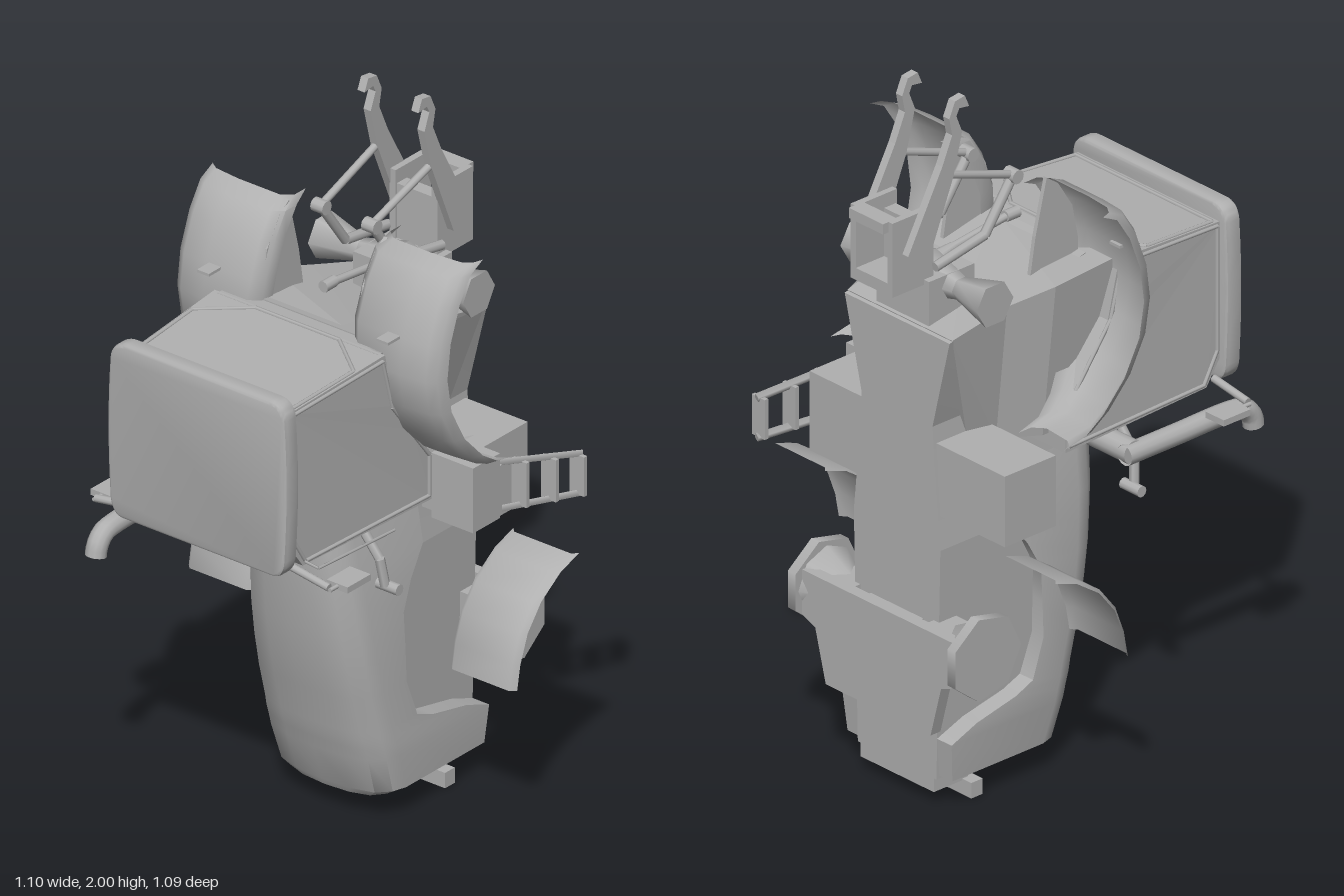
import * as THREE from 'three';
import { toCreasedNormals } from 'three/addons/utils/BufferGeometryUtils.js';

export function createModel() {
  const root = new THREE.Group();
  root.name = 'uprightTractorBody';
  const grey = new THREE.MeshStandardMaterial({ color: 0xb0b0b0, side: THREE.DoubleSide });
  grey.name = 'plain grey';

  const add = (name, geometry) => {
    const m = new THREE.Mesh(geometry, grey);
    m.name = name;
    root.add(m);
    return m;
  };
  // box from its limits on each axis
  const box = (name, x0, x1, y0, y1, z0, z1) =>
    add(name, new THREE.BoxGeometry(Math.abs(x1 - x0), y1 - y0, Math.abs(z1 - z0)))
      .position.set((x0 + x1) / 2, (y0 + y1) / 2, (z0 + z1) / 2);
  // straight rod between two points
  const rod = (name, a, b, r0, r1 = r0, sides = 10) => {
    const p = new THREE.Vector3(...a), q = new THREE.Vector3(...b), d = q.clone().sub(p);
    const m = add(name, new THREE.CylinderGeometry(r1, r0, d.length(), sides));
    m.position.copy(p).add(q).multiplyScalar(0.5);
    m.quaternion.setFromUnitVectors(new THREE.Vector3(0, 1, 0), d.normalize());
  };
  const chain = (name, pts, r, sides = 6) => {
    for (let i = 1; i < pts.length; i++) rod(name, pts[i - 1], pts[i], r, r, sides);
  };
  // plate drawn in (z, y), given a width along x and centred on x
  const plate = (name, pts, width, x = 0) => {
    const shape = new THREE.Shape(pts.map(p => new THREE.Vector2(...p)));
    const g = new THREE.ExtrudeGeometry(shape, { depth: width, bevelEnabled: false });
    g.translate(0, 0, -width / 2).rotateY(-Math.PI / 2).translate(x, 0, 0);
    return add(name, g);
  };
  // skin over a row of cross-sections; closed ones get end caps
  const loft = (name, rings, closed = true, crease = 0.6) => {
    const n = rings[0].length, pos = rings.flat(2), idx = [];
    for (let i = 0; i < rings.length - 1; i++)
      for (let j = 0; j < (closed ? n : n - 1); j++) {
        const a = i * n + j, b = i * n + (j + 1) % n;
        idx.push(a, a + n, b, b, a + n, b + n);
      }
    if (closed) {
      const o = (rings.length - 1) * n;
      for (let j = 1; j < n - 1; j++) idx.push(0, j, j + 1, o, o + j + 1, o + j);
    }
    const g = new THREE.BufferGeometry();
    g.setAttribute('position', new THREE.Float32BufferAttribute(pos, 3));
    g.setIndex(idx);
    return add(name, toCreasedNormals(g, crease));
  };
  const mirrorRing = half => [...half, ...half.slice().reverse().map(([x, y, z]) => [-x, y, z])];

  // chassis: long waisted block under the hood and cab
  loft('chassis', [[0.08, 0.15, -0.1], [0.75, 0.165, 0], [0.9, 0.15, 0.05], [1.1, 0.135, 0.05]]
    .map(([y, w, z]) => mirrorRing([[w, y, z], [w, y, -0.43]]))
    .concat([mirrorRing([[0.2, 1.465, 0.05], [0.2, 1.365, -0.43]])]), true, 0.1);
  loft('rearHousing', [
    mirrorRing([[0.22, 1.0, 0.1], [0.22, 1.0, -0.12], [0.15, 1.0, -0.22], [0.13, 1.0, -0.3]]),
    mirrorRing([[0.27, 1.465, 0.1], [0.27, 1.45, -0.12], [0.225, 1.42, -0.25], [0.2, 1.37, -0.42]]),
  ], true, 0.1);

  // hood: [y, half width, crown z, lower edge z]
  loft('hood', [
    [0.07, 0.17, -0.01, -0.35], [0.09, 0.2, 0, -0.42], [0.2, 0.208, 0.035, -0.43],
    [0.235, 0.207, 0.045, -0.34], [0.265, 0.206, 0.055, -0.2], [0.29, 0.205, 0.06, -0.14],
    [0.4, 0.202, 0.09, -0.1], [0.5, 0.198, 0.112, -0.1], [0.6, 0.192, 0.13, -0.1], [0.68, 0.184, 0.14, -0.14],
    [0.76, 0.175, 0.15, -0.2], [0.87, 0.156, 0.158, -0.2], [0.98, 0.135, 0.162, -0.12],
  ].map(([y, w, t, b]) => mirrorRing([
    [0.001, y, t], [w * 0.45, y, t - 0.006], [w * 0.78, y, t - 0.025], [w * 0.94, y, t - 0.06], [w, y, t - 0.1], [w, y, b],
  ])), true, 0.7);

  // nose hitch and lower lamps
  box('noseBumper', -0.175, 0.175, 0, 0.045, -0.33, -0.29);
  box('noseHitch', -0.14, 0.14, 0.04, 0.085, -0.43, -0.31);
  for (const s of [-1, 1]) rod('noseLamp', [s * 0.1, 0.05, -0.18], [s * 0.1, 0.08, -0.18], 0.035);

  // cab, slightly narrower towards the roof
  const cab = plate('cab', [[0.47, 1.06], [0.41, 0.975], [-0.1, 0.965], [-0.1, 1.1],
    [-0.02, 1.2], [0.05, 1.3], [0.09, 1.465], [0.47, 1.44]], 0.57);
  const cp = cab.geometry.attributes.position;
  for (let i = 0; i < cp.count; i++) cp.setX(i, cp.getX(i) * (1 - 0.15 * Math.max(0, cp.getZ(i) - 0.1)));
  cab.geometry.computeVertexNormals();

  // roof with rounded corners
  const r = new THREE.Shape();
  r.moveTo(-0.25, 0.985).lineTo(0.25, 0.985);
  r.quadraticCurveTo(0.28, 0.985, 0.285, 1.03).quadraticCurveTo(0.3, 1.25, 0.285, 1.44);
  r.quadraticCurveTo(0.28, 1.48, 0.24, 1.48).lineTo(-0.24, 1.48);
  r.quadraticCurveTo(-0.28, 1.48, -0.285, 1.44).quadraticCurveTo(-0.3, 1.25, -0.285, 1.03);
  r.quadraticCurveTo(-0.28, 0.985, -0.25, 0.985);
  const roof = new THREE.ExtrudeGeometry(r, { depth: 0.03, bevelSize: 0.008, bevelThickness: 0.012, bevelSegments: 2, curveSegments: 8 });
  add('roof', toCreasedNormals(roof.translate(0, 0, 0.47), 0.6));

  // window frames
  chain('rearWindowFrame', [[-0.26, 1.443, 0.44], [-0.27, 1.458, 0.2], [-0.14, 1.465, 0.1],
    [0.14, 1.465, 0.1], [0.27, 1.458, 0.2], [0.26, 1.443, 0.44], [-0.26, 1.443, 0.44]], 0.006);
  for (const s of [-1, 1])
    chain('sideWindowFrame', [[s * 0.27, 1.43, 0.45], [s * 0.285, 1.45, 0.1], [s * 0.285, 1.3, 0.06], [s * 0.286, 1.1, -0.09],
      [s * 0.286, 0.98, -0.09], [s * 0.273, 0.985, 0.4], [s * 0.27, 1.07, 0.45], [s * 0.27, 1.43, 0.45]], 0.006);

  // rear fenders: a bowed sheet with turned-back rims, along a (y, z) path
  const rearPath = [[1.715, -0.06, 0.16], [1.69, -0.01, 0.15], [1.62, 0.035, 0.15], [1.52, 0.072, 0.15], [1.42, 0.085, 0.16],
    [1.32, 0.068, 0.18], [1.22, 0.015, 0.22], [1.14, -0.06, 0.26], [1.1, -0.12, 0.28], [1.085, -0.2, 0.29]];
  const frontPath = [[0.78, -0.365], [0.755, -0.29], [0.7, -0.21], [0.63, -0.155], [0.55, -0.125], [0.48, -0.112]];
  for (const s of [-1, 1]) {
    loft('rearFender', rearPath.map(([y, z, x0]) => [
      [x0, y, z - 0.07], [x0, y, z - 0.025], [x0 + 0.03, y, z], [0.33, y, z],
      [0.41, y, z - 0.008], [0.435, y, z - 0.025], [0.445, y, z - 0.055],
    ].map(([x, py, pz]) => [s * x, py, pz])), false, 1);
    plate('fenderInnerPanel', [[-0.06, 1.71], [-0.02, 1.68], [0.03, 1.6], [0.05, 1.5], [0.05, 1.4], [-0.12, 1.43], [-0.1, 1.55]], 0.012, s * 0.165);
    box('fenderMarker', s * 0.28, s * 0.32, 1.517, 1.525, 0.06, 0.12);

    // front fenders, hubs and axle
    loft('frontFender', frontPath.map(([y, z]) => [
      [s * 0.33, y, z - 0.015], [s * 0.345, y, z], [s * 0.535, y, z], [s * 0.55, y, z - 0.015]]), false, 1);
    rod('frontHub', [s * 0.29, 0.49, -0.41], [s * 0.32, 0.49, -0.41], 0.122, 0.122, 7);
    rod('hubCone', [s * 0.2, 0.49, -0.41], [s * 0.29, 0.49, -0.41], 0.05, 0.1, 8);
    box('axleArm', s * 0.14, s * 0.29, 0.42, 0.54, -0.46, -0.37);
    rod('steeringCylinder', [s * 0.27, 0.5, -0.47], [s * 0.2, 0.5, -0.39], 0.018);

    // mirrors and cab steps
    rod('mirrorArm', [s * 0.26, 0.985, 0.447], [s * 0.39, 0.965, 0.447], 0.011);
    rod('mirrorStem', [s * 0.395, 0.96, 0.45], [s * 0.395, 0.96, 0.41], 0.006);
    box('mirror', s * 0.36, s * 0.43, 0.95, 0.968, 0.325, 0.42);
    chain('lampArm', [[s * 0.25, 0.95, 0.13], [s * 0.3, 0.89, 0.13], [s * 0.31, 0.81, 0.12]], 0.014);
    rod('workLamp', [s * 0.28, 0.805, 0.11], [s * 0.35, 0.805, 0.11], 0.016);

    // hitch arms and lift linkage
    plate('hitchHookArm', [[-0.27, 1.965], [-0.285, 2.0], [-0.32, 1.995], [-0.34, 1.95], [-0.33, 1.9], [-0.365, 1.82],
      [-0.485, 1.6], [-0.415, 1.56], [-0.325, 1.78], [-0.295, 1.9], [-0.315, 1.95], [-0.305, 1.97]], 0.024, s * 0.09);
    chain('liftLinkage', [[s * 0.09, 1.53, -0.38], [s * 0.085, 1.56, -0.2], [s * 0.085, 1.7, -0.1]], 0.014, 8);
    rod('liftRod', [s * 0.085, 1.7, -0.095], [s * 0.09, 1.785, -0.34], 0.011);
    rod('liftJoint', [s * 0.065, 1.7, -0.1], [s * 0.105, 1.7, -0.1], 0.02);
    box('hitchSidePlate', s * 0.06, s * 0.08, 1.485, 1.7, -0.52, -0.375);
    // rear axle funnels
    rod('rearAxleFunnel', [0, 1.465, -0.325], [s * 0.13, 1.465, -0.325], 0.065, 0.032, 6);
    rod('rearAxleFlare', [s * 0.13, 1.465, -0.325], [s * 0.26, 1.465, -0.325], 0.032, 0.065, 6);
  }

  // front axle plate
  const axle = new THREE.Shape([[-0.29, 0.55], [-0.29, 0.42], [-0.24, 0.4], [-0.2, 0.25], [0.2, 0.25], [0.24, 0.4], [0.29, 0.42], [0.29, 0.55]]
    .map(p => new THREE.Vector2(...p)));
  add('frontAxlePlate', new THREE.ExtrudeGeometry(axle, { depth: 0.035, bevelEnabled: false }).translate(0, 0, -0.497));
  box('axleMount', -0.1, 0.1, 0.3, 0.53, -0.47, -0.42);

  // rear hitch bracket and top link
  box('hitchPedestal', -0.1, 0.1, 1.37, 1.5, -0.41, -0.25);
  box('hitchBackPlate', -0.07, 0.07, 1.485, 1.66, -0.42, -0.38);
  box('hitchShelf', -0.08, 0.08, 1.485, 1.52, -0.52, -0.38);
  box('hitchCap', -0.065, 0.065, 1.67, 1.7, -0.54, -0.49);
  rod('topLink', [0, 1.5, -0.28], [0, 1.53, -0.04], 0.011);
  rod('topLinkEnd', [0, 1.53, -0.05], [0, 1.53, -0.005], 0.016);
  rod('topLinkRoot', [0, 1.49, -0.28], [0, 1.505, -0.23], 0.025, 0.014);

  // side tanks
  box('rightTank', -0.4, -0.12, 0.845, 1.05, -0.42, -0.24);
  box('leftTank', 0.12, 0.345, 0.85, 1.08, -0.42, -0.22);

  // landing and ladder on the left
  box('ladderLanding', 0.26, 0.4, 0.89, 1.08, -0.24, -0.13);
  const rail = t => [0.37 + 0.085 * t, -0.23 - 0.27 * t];
  for (const [y0, y1] of [[1.045, 0.99], [0.905, 0.875]])
    rod('ladderRail', [0.37, y0, -0.23], [0.455, y1, -0.505], 0.012, 0.012, 4);
  for (const t of [0.05, 0.35, 0.67, 0.98]) {
    const [x, z] = rail(t);
    box('ladderStep', x - 0.025, x + 0.025, 0.905 - 0.03 * t, 1.045 - 0.055 * t, z - 0.006, z + 0.006);
  }

  // exhaust with a bent tip
  rod('exhaustElbow', [-0.13, 0.915, 0.1], [-0.33, 0.915, 0.1], 0.034, 0.034, 14);
  const bend = new THREE.CatmullRomCurve3([[0.07, 0.915], [0.25, 0.915], [0.44, 0.915], [0.495, 0.905], [0.52, 0.875], [0.525, 0.85]]
    .map(([z, y]) => new THREE.Vector3(-0.327, y, z)));
  add('exhaustPipe', new THREE.TubeGeometry(bend, 28, 0.029, 12));
  // thin handrail beside the cab
  chain('handrail', [[0.28, 0.99, 0.41], [0.325, 0.985, 0.41], [0.325, 0.97, 0.1]], 0.004, 5);

  return root;
}
